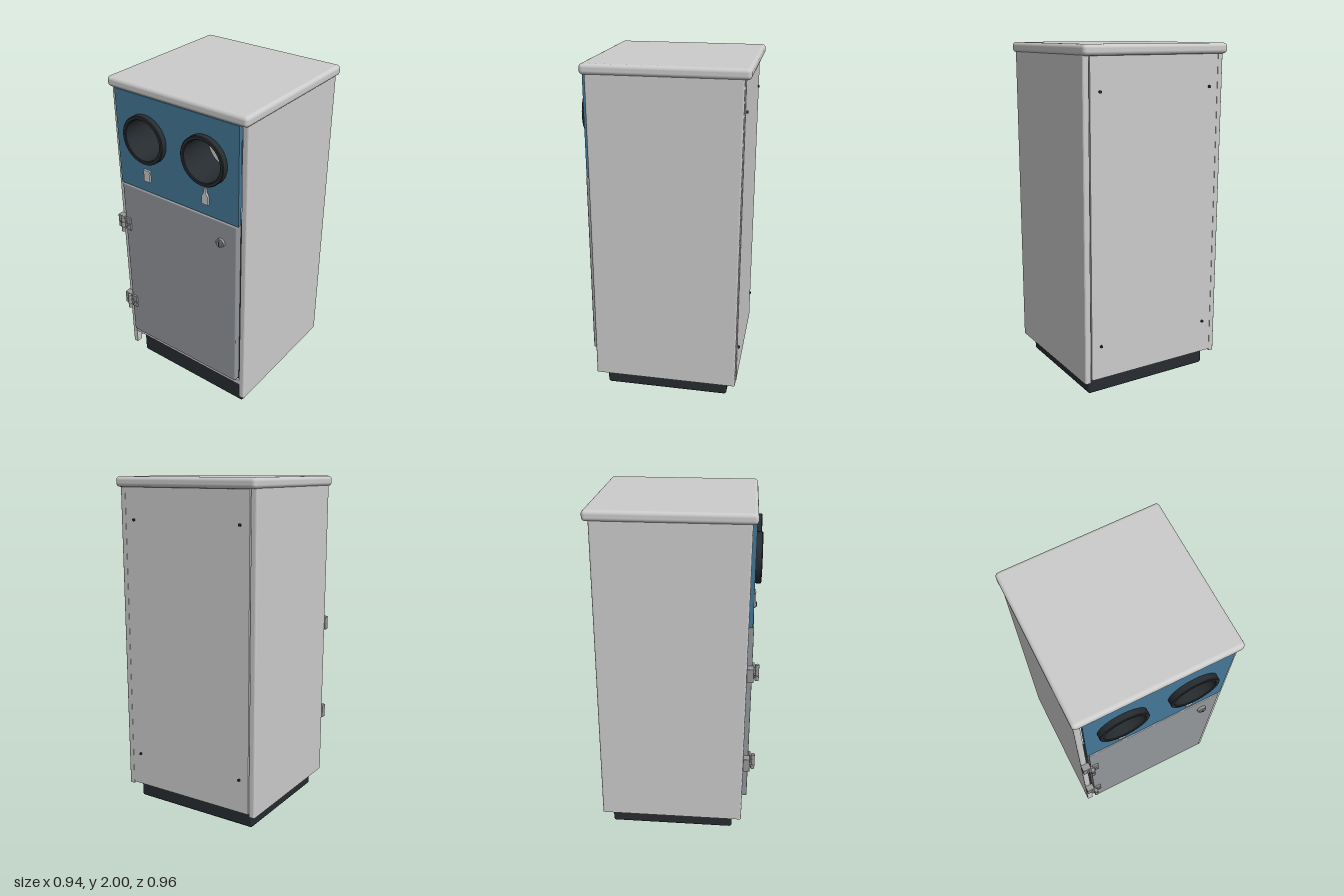
import * as THREE from 'three';
import { RoundedBoxGeometry } from 'three/addons/geometries/RoundedBoxGeometry.js';
import { toCreasedNormals } from 'three/addons/utils/BufferGeometryUtils.js';

const mat = (color) => new THREE.MeshStandardMaterial({ color });
const grey = mat(0xcccccc);
const blue = mat(0x437898);
const slate = mat(0x93979b);
const dark = mat(0x272c30);
const steel = mat(0x999999);

export function createModel() {
  const root = new THREE.Group();

  const add = (name, geometry, material, parent = root) => {
    const mesh = new THREE.Mesh(geometry, material);
    mesh.name = name;
    parent.add(mesh);
    return mesh;
  };

  // Box given by its limits; a radius rounds the edges
  const box = (name, [x0, x1], [y0, y1], [z0, z1], material, radius = 0, parent = root) => {
    const size = [x1 - x0, y1 - y0, z1 - z0];
    const geometry = radius
      ? new RoundedBoxGeometry(...size, 4, radius)
      : new THREE.BoxGeometry(...size);
    geometry.translate((x0 + x1) / 2, (y0 + y1) / 2, (z0 + z1) / 2);
    return add(name, geometry, material, parent);
  };

  // Disc or pin facing the front (+z) or the back
  const disc = (name, r, depth, x, y, z, material, parent = root) => {
    const geometry = new THREE.CylinderGeometry(r, r, depth, 24).rotateX(Math.PI / 2);
    return add(name, geometry.translate(x, y, z), material, parent);
  };

  // Lid and plinth
  box('lid', [-0.47, 0.47], [1.94, 2.0], [-0.48, 0.44], grey, 0.022);
  box('plinth', [-0.41, 0.41], [0, 0.18], [-0.39, 0.355], dark, 0.015);
  box('floor', [-0.44, 0.44], [0.175, 0.195], [-0.42, 0.38], grey);

  // Side panels: folded sheet with front and back flanges, extruded upward
  const t = 0.01, xo = 0.46, xi = 0.425, zf = 0.412, zb = -0.446, r = 0.012;
  const sheet = new THREE.Shape();
  sheet.moveTo(xi, zb);
  sheet.lineTo(xo - r, zb);
  sheet.quadraticCurveTo(xo, zb, xo, zb + r);
  sheet.lineTo(xo, zf - r);
  sheet.quadraticCurveTo(xo, zf, xo - r, zf);
  sheet.lineTo(xi, zf);
  sheet.lineTo(xi, zf - 0.04);
  sheet.lineTo(xi + t, zf - 0.04);
  sheet.lineTo(xi + t, zf - t);
  sheet.lineTo(xo - t, zf - t);
  sheet.lineTo(xo - t, zb + t);
  sheet.lineTo(xi, zb + t);
  sheet.closePath();
  const sideGeometry = () => new THREE.ExtrudeGeometry(sheet, { depth: 1.845, bevelEnabled: false, curveSegments: 5 })
    .rotateX(Math.PI / 2).scale(1, 1, 1).translate(0, 1.945, 0);
  add('leftSidePanel', sideGeometry(), grey);
  add('rightSidePanel', sideGeometry().rotateZ(Math.PI).translate(0, 2.045, 0), grey);

  // Back panel with four screws
  box('backPanel', [-0.42, 0.42], [0.115, 1.945], [-0.45, -0.43], grey);
  for (const x of [-0.36, 0.36])
    for (const y of [0.315, 1.755]) disc('backScrew', 0.008, 0.012, x, y, -0.453, dark);

  // Front frame: dark door seal and lower rail
  box('doorSeal', [-0.425, 0.425], [0.23, 1.36], [0.36, 0.395], dark);
  box('lowerRail', [-0.425, 0.425], [0.197, 0.23], [0.36, 0.41], grey);
  box('lowerRailReturn', [-0.425, 0.425], [0.18, 0.197], [0.36, 0.395], grey);

  // Coloured front panel with two round holes
  const panel = new THREE.Shape();
  panel.moveTo(-0.42, 1.36);
  panel.lineTo(0.42, 1.36);
  panel.lineTo(0.42, 1.942);
  panel.lineTo(-0.42, 1.942);
  panel.closePath();
  const holeX = 0.205, holeY = 1.695;
  for (const x of [-holeX, holeX]) {
    const hole = new THREE.Path();
    hole.absarc(x, holeY, 0.128, 0, Math.PI * 2, true);
    panel.holes.push(hole);
  }
  add('insertionPanel', new THREE.ExtrudeGeometry(panel, { depth: 0.024, bevelEnabled: false, curveSegments: 32 })
    .translate(0, 0, 0.41), blue);

  // Collared tubes through the holes
  const collar = [
    [0.12, 0.25], [0.128, 0.25], [0.128, 0.433], [0.143, 0.433], [0.143, 0.466],
    [0.139, 0.47], [0.124, 0.47], [0.12, 0.466], [0.12, 0.25],
  ].map(([x, y]) => new THREE.Vector2(x, y));
  for (const x of [-holeX, holeX]) {
    const tube = new THREE.LatheGeometry(collar, 48).rotateX(Math.PI / 2).translate(x, holeY, 0);
    add('insertionTube', toCreasedNormals(tube, 0.5), dark);
  }

  // Can and bottle symbols
  const symbol = (name, x, half) => {
    const shape = new THREE.Shape([
      ...half.map(([u, v]) => new THREE.Vector2(x + u, v)),
      ...half.slice().reverse().map(([u, v]) => new THREE.Vector2(x - u, v)),
    ]);
    add(name, new THREE.ExtrudeGeometry(shape, { depth: 0.014, bevelEnabled: false }).translate(0, 0, 0.432), grey);
  };
  symbol('canSymbol', -0.21, [[0.021, 1.43], [0.021, 1.49], [0.025, 1.494], [0.025, 1.502]]);
  symbol('bottleSymbol', holeX, [[0.02, 1.43], [0.02, 1.48], [0.007, 1.503], [0.007, 1.523]]);

  // Door and lock
  box('door', [-0.41, 0.412], [0.245, 1.355], [0.395, 0.44], slate, 0.006);
  disc('lockRim', 0.027, 0.016, 0.31, 1.225, 0.447, steel);
  disc('lockCylinder', 0.019, 0.01, 0.31, 1.225, 0.457, slate);
  box('keySlot', [0.307, 0.313], [1.213, 1.237], [0.458, 0.465], dark);

  // Hinges
  for (const y of [0.495, 1.085]) {
    const hinge = new THREE.Group();
    hinge.name = 'hinge';
    root.add(hinge);
    box('frameLeaf', [-0.463, -0.412], [y - 0.042, y + 0.042], [0.41, 0.45], steel, 0.004, hinge);
    box('doorLeaf', [-0.402, -0.365], [y - 0.042, y + 0.042], [0.438, 0.453], steel, 0.004, hinge);
    box('knuckleWeb', [-0.43, -0.39], [y - 0.025, y + 0.025], [0.44, 0.458], steel, 0, hinge);
    for (const [dy, h] of [[-0.034, 0.03], [0, 0.034], [0.034, 0.03]]) {
      const knuckle = new THREE.CylinderGeometry(0.012, 0.012, h, 16).translate(-0.408, y + dy, 0.467);
      add('hingeKnuckle', knuckle, steel, hinge);
    }
    for (const x of [-0.435, -0.383])
      disc('hingeScrew', 0.007, 0.01, x, y, 0.455, steel, hinge);
  }

  return root;
}
